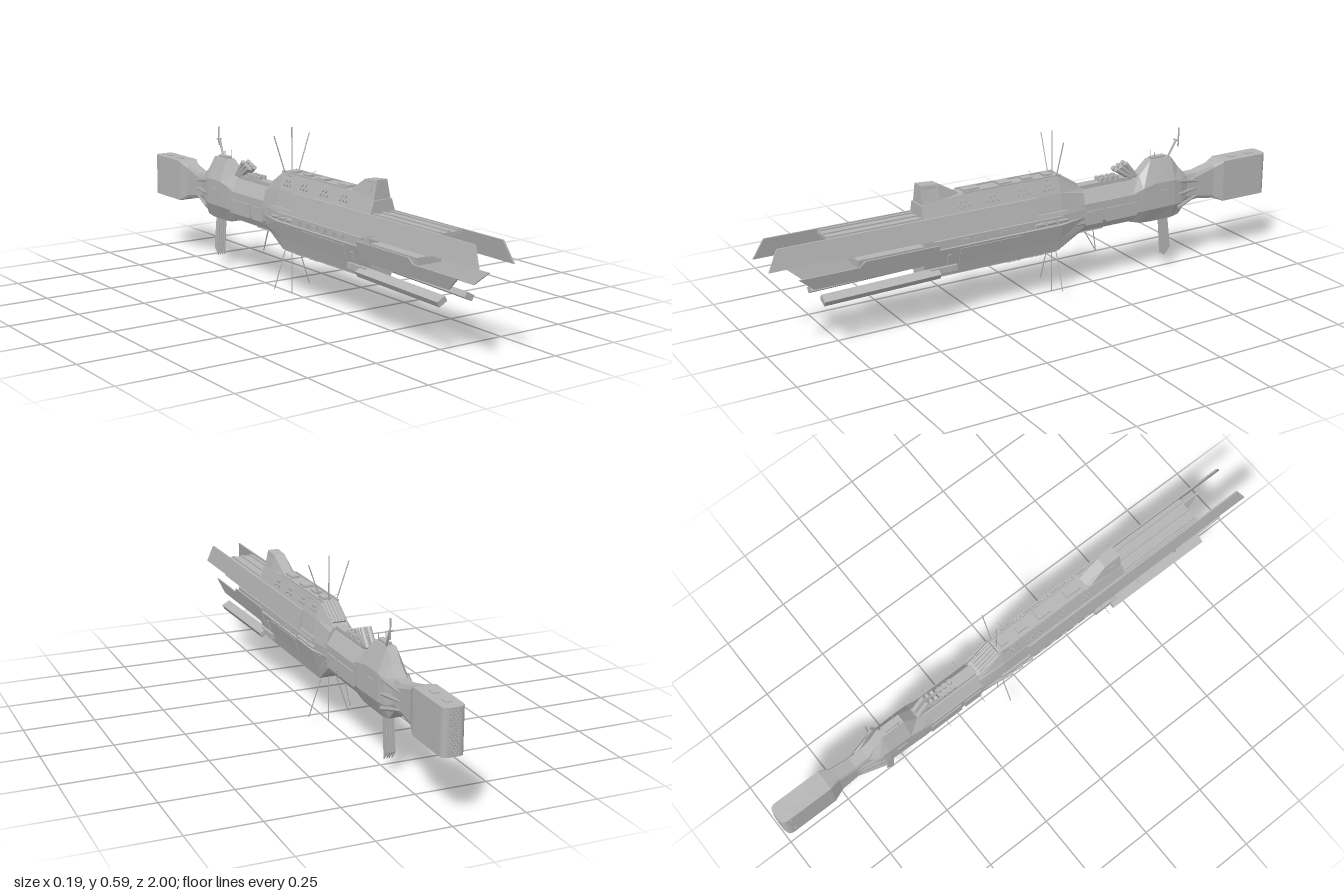
import * as THREE from 'three';

export function createModel() {
  const ship = new THREE.Group();
  ship.name = 'ship';
  const grey = new THREE.MeshStandardMaterial({ color: 0xb4b4b4 });
  grey.name = 'hullGrey';

  const add = (name, geo, x = 0, y = 0, z = 0, rx = 0, ry = 0, rz = 0) => {
    const m = new THREE.Mesh(geo, grey);
    m.name = name;
    m.position.set(x, y, z);
    m.rotation.set(rx, ry, rz);
    ship.add(m);
    return m;
  };
  const box = (name, w, h, d, ...place) => add(name, new THREE.BoxGeometry(w, h, d), ...place);
  const both = (fn) => [1, -1].forEach(fn);

  // Straight rod between two points
  const rod = (name, a, b, r = 0.0015, sides = 6, rEnd = r) => {
    const p = new THREE.Vector3(...a), q = new THREE.Vector3(...b), d = q.clone().sub(p);
    const m = add(name, new THREE.CylinderGeometry(rEnd, r, d.length(), sides));
    m.position.copy(p).add(q).multiplyScalar(0.5);
    m.quaternion.setFromUnitVectors(new THREE.Vector3(0, 1, 0), d.normalize());
  };

  // Mirrored hull from sections [z, [x, y] ...bottom to top], ordered front to back
  const loft = (name, sections) => {
    const rings = sections.map(([z, ...half]) => [
      ...half.map(([x, y]) => [x, y, z]),
      ...half.slice().reverse().map(([x, y]) => [-x, y, z])]);
    const v = [], n = rings[0].length;
    const tri = (a, b, c) => v.push(...a, ...b, ...c);
    for (let s = 0; s < rings.length - 1; s++) {
      for (let i = 0; i < n; i++) {
        const j = (i + 1) % n, f = rings[s], k = rings[s + 1];
        tri(f[i], k[i], k[j]);
        tri(f[i], k[j], f[j]);
      }
    }
    const back = rings[rings.length - 1];
    for (let i = 1; i < n - 1; i++) {
      tri(rings[0][0], rings[0][i], rings[0][i + 1]);
      tri(back[0], back[i + 1], back[i]);
    }
    const g = new THREE.BufferGeometry();
    g.setAttribute('position', new THREE.Float32BufferAttribute(v, 3));
    g.computeVertexNormals();
    return add(name, g);
  };

  // Pair of side plates with outline [z, y], leaning so that x = x0 + k * (y - y0)
  const sidePlates = (name, outline, x0, y0, k, thick) => both((s) => {
    const shape = new THREE.Shape(outline.map(([z, y]) => new THREE.Vector2(-z, y)));
    const g = new THREE.ExtrudeGeometry(shape, { depth: thick, bevelEnabled: false });
    g.translate(0, 0, -thick / 2).rotateY(Math.PI / 2);
    const p = g.attributes.position;
    for (let i = 0; i < p.count; i++) p.setX(i, p.getX(i) + s * (x0 + k * (p.getY(i) - y0)));
    g.computeVertexNormals();
    add(name, g);
  });

  // Main hull: lower body, recessed core, upper body, superstructure and bridge
  loft('lowerHull', [
    [0.45, [0.035, 0.165], [0.045, 0.205], [0.063, 0.268]],
    [-0.08, [0.035, 0.165], [0.045, 0.205], [0.063, 0.268]],
    [-0.18, [0.03, 0.217], [0.045, 0.235], [0.052, 0.275]]]);
  loft('recessedCore', [
    [0.69, [0.048, 0.262], [0.05, 0.287]],
    [0.45, [0.048, 0.262], [0.05, 0.287]]]);
  loft('midCore', [
    [0.45, [0.055, 0.26], [0.055, 0.32]],
    [-0.15, [0.05, 0.26], [0.05, 0.32]]]);
  loft('upperHull', [
    [0.45, [0.065, 0.305], [0.051, 0.383]],
    [-0.08, [0.065, 0.305], [0.051, 0.383]],
    [-0.18, [0.054, 0.305], [0.042, 0.362]]]);
  loft('superstructure', [
    [0.45, [0.05, 0.38], [0.036, 0.425]],
    [0.3, [0.05, 0.38], [0.032, 0.438]],
    [-0.08, [0.05, 0.38], [0.032, 0.438]],
    [-0.18, [0.04, 0.355], [0.028, 0.376]]]);
  loft('bridge', [
    [0.445, [0.034, 0.425], [0.02, 0.49]],
    [0.38, [0.034, 0.425], [0.02, 0.485]],
    [0.3, [0.03, 0.425], [0.016, 0.439]]]);
  box('bridgeVisor', 0.045, 0.012, 0.05, 0, 0.476, 0.417);
  both((s) => box('bridgeWindow', 0.004, 0.018, 0.03, s * 0.029, 0.455, 0.41, 0, 0, s * 0.21));

  // Forward prongs and the deck between them
  sidePlates('upperProng', [[0.02, 0.318], [1, 0.315], [0.965, 0.383], [0.02, 0.383]], 0.055, 0.383, -0.2, 0.006);
  sidePlates('upperProngRib', [[-0.1, 0.31], [0.78, 0.31], [0.78, 0.322], [-0.1, 0.322]], 0.066, 0.315, -0.2, 0.008);
  sidePlates('lowerProng', [[0.4, 0.22], [0.845, 0.22], [0.9, 0.267], [0.69, 0.267], [0.67, 0.287], [0.4, 0.287]],
    0.049, 0.22, 0.27, 0.006);
  box('foreDeck', 0.1, 0.012, 0.34, 0, 0.374, 0.615);
  [-0.036, 0, 0.036].forEach((x) => box('deckRail', 0.01, 0.006, 0.34, x, 0.382, 0.612));
  both((s) => {
    box('keelProng', 0.034, 0.02, 0.42, s * 0.054, 0.182, 0.61, 0.02, 0, -s * 0.5);
    box('keelProngMount', 0.025, 0.02, 0.1, s * 0.042, 0.192, 0.38);
  });

  // Neck joining hull and engine room
  const neck = [[0.034, 0.217], [0.05, 0.25], [0.05, 0.322], [0.024, 0.366]];
  loft('neck', [[-0.12, ...neck], [-0.42, ...neck]]);
  box('neckSpine', 0.036, 0.02, 0.24, 0, 0.37, -0.28);

  // Engine room, narrow waist and flare to the drive block
  loft('engineRoom', [
    [-0.38, [0.032, 0.215], [0.05, 0.25], [0.05, 0.32], [0.022, 0.362]],
    [-0.43, [0.03, 0.2], [0.052, 0.25], [0.052, 0.335], [0.02, 0.375]],
    [-0.48, [0.025, 0.195], [0.05, 0.25], [0.05, 0.345], [0.016, 0.425]],
    [-0.57, [0.025, 0.195], [0.048, 0.25], [0.048, 0.345], [0.016, 0.425]],
    [-0.605, [0.024, 0.202], [0.042, 0.25], [0.042, 0.335], [0.016, 0.38]],
    [-0.64, [0.02, 0.24], [0.028, 0.262], [0.028, 0.32], [0.02, 0.345]],
    [-0.69, [0.02, 0.245], [0.026, 0.258], [0.026, 0.332], [0.02, 0.345]],
    [-0.76, [0.022, 0.235], [0.027, 0.245], [0.027, 0.352], [0.022, 0.362]],
    [-0.8, [0.036, 0.221], [0.038, 0.223], [0.038, 0.372], [0.036, 0.375]]]);
  [0.235, 0.285, 0.335].forEach((y) => both((s) => {
    rod('waistStrut', [s * 0.042, y, -0.59], [s * 0.024, 0.29 + (y - 0.29) * 0.55, -0.69], 0.009, 4, 0.004);
  }));

  // Drive block with rounded rear corners and a grid of nozzles
  const plan = new THREE.Shape();
  plan.moveTo(0.038, -0.8);
  plan.lineTo(-0.038, -0.8);
  plan.lineTo(-0.038, -0.972);
  plan.quadraticCurveTo(-0.038, -0.997, -0.014, -0.997);
  plan.lineTo(0.014, -0.997);
  plan.quadraticCurveTo(0.038, -0.997, 0.038, -0.972);
  plan.closePath();
  add('driveBlock', new THREE.ExtrudeGeometry(plan, { depth: 0.155, bevelEnabled: false, curveSegments: 8 })
    .rotateX(Math.PI / 2), 0, 0.375, 0);
  for (let r = 0; r < 8; r++) {
    for (let c = -2; c <= 2; c++) {
      const edge = Math.abs(c) === 2;
      add('nozzle', new THREE.TorusGeometry(0.005, 0.0015, 5, 10), c * (edge ? 0.0135 : 0.012),
        0.236 + r * 0.0176, edge ? -0.992 : -0.998, 0, edge ? -Math.sign(c) * 0.6 : 0);
    }
  }
  both((s) => [0.25, 0.345].forEach((y) => box('driveLatch', 0.004, 0.03, 0.006, s * 0.039, y, -0.965)));
  [-0.86, -0.94].forEach((z) => box('driveHatch', 0.02, 0.004, 0.03, 0, 0.376, z));

  // Missile cells on the superstructure flanks
  [0.29, 0.18, 0.06, -0.04].forEach((z) => both((s) => {
    for (let i = 0; i < 5; i++) {
      const upper = i > 2, y = upper ? 0.416 : 0.402;
      add('missileCell', new THREE.CylinderGeometry(0.007, 0.007, 0.008, 8),
        s * (0.05 - (y - 0.38) * 0.31), y, z + (upper ? i - 3.5 : i - 1) * 0.018, 0, 0, s * (0.3 - Math.PI / 2));
    }
  }));

  // Flank panels and the gear in the side recess
  both((s) => {
    box('flankPanel', 0.004, 0.05, 0.24, s * 0.054, 0.236, 0.2, 0, 0, -s * 0.27);
    box('flankHatch', 0.005, 0.035, 0.012, s * 0.053, 0.228, 0.36, 0, 0, -s * 0.27);
    box('recessRail', 0.012, 0.008, 0.5, s * 0.06, 0.298, 0.17);
    for (let i = 0; i < 8; i++) {
      box('recessPod', 0.018, 0.014 + (i % 3) * 0.003, 0.026, s * 0.057, 0.285, 0.3 - i * 0.05);
    }
    for (let i = 0; i < 3; i++) rod('sideGun', [s * 0.062, 0.284, -0.1 + i * 0.045], [s * 0.068, 0.287, -0.06 + i * 0.045], 0.006, 8);
    box('neckPanel', 0.006, 0.05, 0.07, s * 0.051, 0.268, -0.22);
    box('neckPanel', 0.006, 0.05, 0.13, s * 0.051, 0.268, -0.335);
    box('neckRail', 0.008, 0.008, 0.28, s * 0.049, 0.318, -0.28);
    box('engineHatch', 0.004, 0.03, 0.04, s * 0.05, 0.3, -0.52);
    box('keelRail', 0.006, 0.006, 0.5, s * 0.03, 0.164, 0.18);
    box('roofRail', 0.005, 0.006, 0.38, s * 0.028, 0.44, 0.1);
  });

  // Dorsal launchers, roof boxes and belly pods
  for (let i = 0; i < 3; i++) {
    both((s) => rod('launchTube', [s * 0.011, 0.375, -0.42 + i * 0.012], [s * 0.011, 0.43 - i * 0.008, -0.375 + i * 0.02], 0.009, 10));
  }
  for (let i = 0; i < 4; i++) {
    both((s) => add('roofTank', new THREE.CylinderGeometry(0.009, 0.009, 0.014, 10), s * 0.011, 0.386, -0.27 - i * 0.022));
    both((s) => rod('slopeTube', [s * (0.006 + (i % 2) * 0.012), 0.437, -0.085], [s * (0.006 + (i % 2) * 0.012), 0.386, -0.165], 0.007, 8));
  }
  [[0.25, 0.03, 0.06], [0.12, 0.036, 0.05], [0.03, 0.025, 0.04], [-0.05, 0.03, 0.03]].forEach(([z, w, d]) =>
    box('roofBox', w, 0.01, d, 0, 0.441, z));
  box('engineRoofBox', 0.02, 0.012, 0.06, 0, 0.427, -0.52);
  [0.09, 0].forEach((z) => {
    for (let i = 0; i < 6; i++) {
      add('bellyPod', new THREE.CylinderGeometry(0.008, 0.008, 0.012, 8),
        (i % 2 - 0.5) * 0.03, 0.16, z + (Math.floor(i / 2) - 1) * 0.019);
    }
  });
  box('bellyFrame', 0.03, 0.012, 0.1, 0, 0.21, -0.23);
  both((s) => rod('bellyMast', [s * 0.012, 0.21, -0.21 - (s + 1) * 0.015], [0, 0.12, -0.26], 0.002));

  // Long radial antennas
  rod('antenna', [0, 0.42, -0.075], [0, 0.595, -0.075], 0.002);
  rod('antenna', [0, 0.18, -0.075], [0, 0, -0.075], 0.002);
  both((s) => {
    rod('antenna', [s * 0.026, 0.43, -0.075], [s * 0.074, 0.57, -0.075], 0.002);
    rod('antenna', [s * 0.026, 0.17, -0.075], [s * 0.075, 0.025, -0.075], 0.002);
    [[0.43, 0.03, 0.064, 0.442, -0.02], [0.38, 0.045, 0.075, 0.38, 0.19], [0.32, 0.06, 0.093, 0.321, 0.49],
      [0.292, 0.045, 0.095, 0.292, -0.2], [0.265, 0.045, 0.085, 0.262, -0.34], [0.21, 0.04, 0.085, 0.192, 0.37]]
      .forEach(([y0, x0, x1, y1, z]) => rod('sideSpike', [s * x0, y0, z], [s * x1, y1, z], 0.001, 4));
  });

  // Rear mast and ventral fins
  rod('mast', [0.012, 0.41, -0.55], [0.018, 0.485, -0.59], 0.004);
  rod('mastTip', [0.02, 0.46, -0.598], [0.02, 0.53, -0.6], 0.003);
  rod('mastArm', [0.005, 0.485, -0.59], [0.024, 0.485, -0.59], 0.003);
  both((s) => rod('roofWhip', [s * 0.012, 0.42, -0.5], [s * 0.014, 0.455, -0.5], 0.0015));
  [0.004, 0.014].forEach((x) => sidePlates('ventralFin',
    [[-0.54, 0.21], [-0.555, 0.045], [-0.58, 0.075], [-0.562, 0.21]], x, 0.05, 0, 0.003));

  return ship;
}
